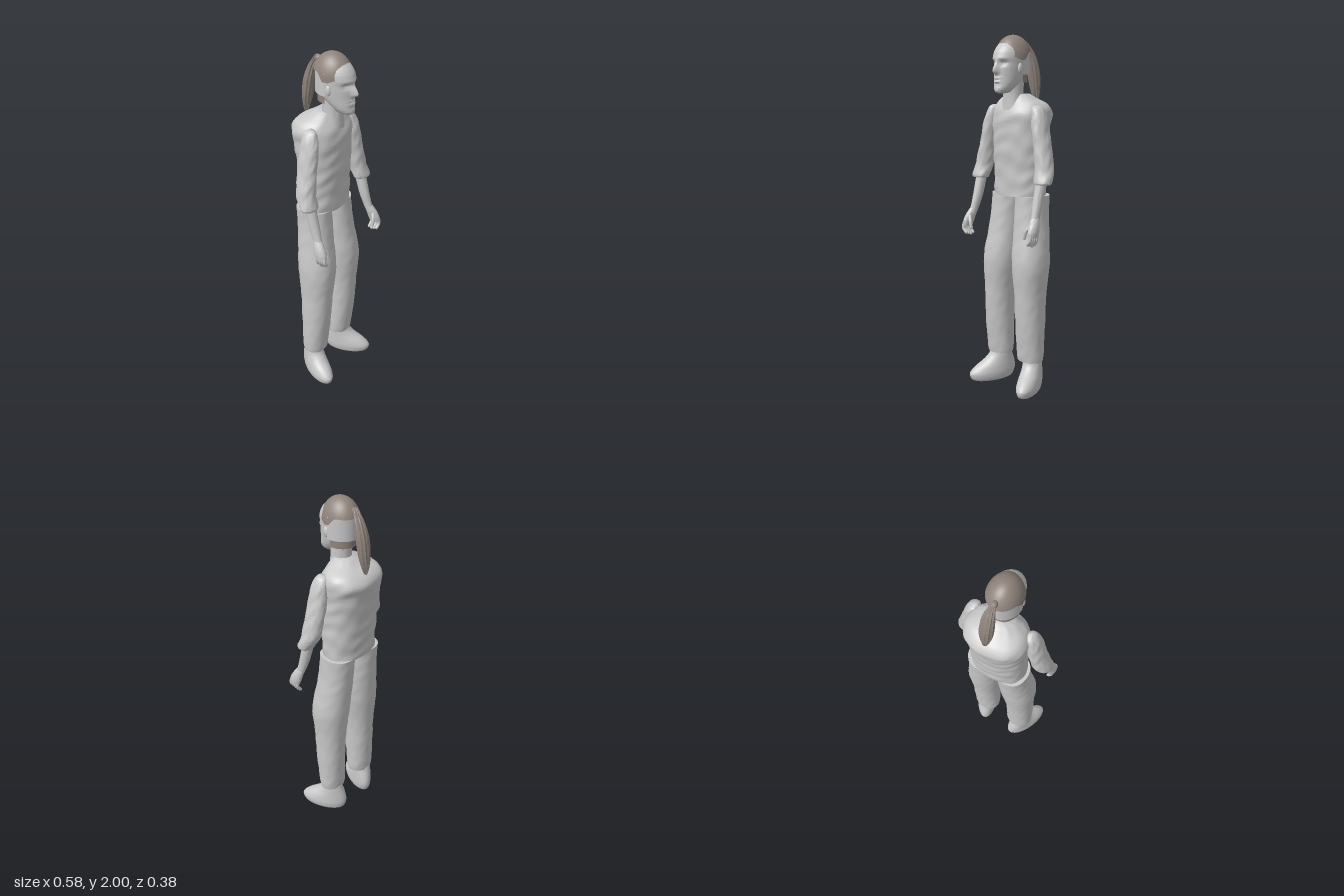
import * as THREE from 'three';
import { toCreasedNormals } from 'three/addons/utils/BufferGeometryUtils.js';

const mat = (name, color, side = THREE.FrontSide) => {
  const m = new THREE.MeshStandardMaterial({ color, side });
  m.name = name;
  return m;
};

const spline = (a, b, c, d, t) =>
  0.5 * (2 * b + (c - a) * t + (2 * a - 5 * b + 4 * c - d) * t * t + (3 * b - a - 3 * c + d) * t * t * t);
const bump = (d, w) => Math.exp(-(d * d) / (w * w));

// Smooth skin over elliptical sections [y, cx, cz, rx, rz], listed from bottom to top
function loft(sections, { seg = 32, steps = 5, power = 1, warp = null } = {}) {
  const rows = [];
  const at = (i) => sections[Math.min(Math.max(i, 0), sections.length - 1)];
  for (let i = 0; i < sections.length - 1; i++) {
    for (let k = 0; k < steps; k++) {
      rows.push(at(i).map((_, n) => spline(at(i - 1)[n], at(i)[n], at(i + 1)[n], at(i + 2)[n], k / steps)));
    }
  }
  rows.push(at(sections.length - 1));
  const pos = [], index = [];
  const round = (v) => Math.sign(v) * Math.pow(Math.abs(v), power);
  for (const [y, cx, cz, rx, rz] of rows) {
    for (let j = 0; j < seg; j++) {
      const a = (j / seg) * Math.PI * 2;
      const p = new THREE.Vector3(cx + rx * round(Math.cos(a)), y, cz + rz * round(Math.sin(a)));
      if (warp) warp(p, a);
      pos.push(p.x, p.y, p.z);
    }
  }
  for (let i = 0; i < rows.length - 1; i++) {
    for (let j = 0; j < seg; j++) {
      const a = i * seg + j, b = i * seg + (j + 1) % seg;
      index.push(a, a + seg, b, b, a + seg, b + seg);
    }
  }
  // end caps
  const last = (rows.length - 1) * seg, c = pos.length / 3;
  for (const r of [rows[0], rows[rows.length - 1]]) pos.push(r[1], r[0], r[2]);
  for (let j = 0; j < seg; j++) {
    const n = (j + 1) % seg;
    index.push(c, j, n, c + 1, last + n, last + j);
  }
  const g = new THREE.BufferGeometry();
  g.setAttribute('position', new THREE.Float32BufferAttribute(pos, 3));
  g.setIndex(index);
  return toCreasedNormals(g, 0.9);
}

// Soft cloth folds
const folds = (amount) => (p, a) => {
  const f = amount * (Math.sin(p.y * 62 + 2 * Math.sin(a * 3 + p.y * 9)) + Math.sin(p.y * 37 + a * 5) * Math.cos(a * 4));
  p.x += f * Math.cos(a);
  p.z += f * Math.sin(a);
};

// Nose, brow, eye sockets and lips pushed into the front of the head
function face(p) {
  if (p.z < 0.08) return;
  const ax = Math.abs(p.x), { y } = p;
  const nose = y > 1.805 ? bump(y - 1.805, 0.045) : bump(y - 1.805, 0.014);
  p.z += 0.034 * bump(ax, 0.014) * nose;
  p.z -= 0.014 * bump(ax - 0.034, 0.02) * bump(y - 1.848, 0.014);
  p.z += 0.005 * bump(ax - 0.03, 0.035) * bump(y - 1.873, 0.01);
  p.z += 0.007 * bump(ax, 0.022) * (bump(y - 1.769, 0.007) + bump(y - 1.753, 0.007));
  p.z -= 0.006 * bump(ax, 0.025) * (bump(y - 1.761, 0.004) + bump(y - 1.736, 0.009));
}

// Hair shell whose lower edge rises over the forehead and dips at the temples
function hairShell() {
  const seg = 48, rows = 14, pos = [], index = [];
  for (let i = 0; i <= rows; i++) {
    for (let j = 0; j < seg; j++) {
      const a = (j / seg) * Math.PI * 2, front = Math.sin(a);
      const edge = front > 0
        ? 1.865 + 0.082 * Math.pow(front, 3) + 0.006 * Math.sin(a * 17) * front
        : 1.87 + 0.04 * Math.min(1, -front * 3);
      const v = Math.sin((i / rows) * Math.PI / 2);
      const y = edge + (2 - edge) * v;
      const r = Math.sqrt(Math.max(0, 1 - ((y - 1.87) / 0.13) ** 2));
      pos.push(0.092 * r * Math.cos(a), y, 0.03 + 0.112 * r * front);
    }
  }
  for (let i = 0; i < rows; i++) {
    for (let j = 0; j < seg; j++) {
      const a = i * seg + j, b = i * seg + (j + 1) % seg;
      index.push(a, a + seg, b, b, a + seg, b + seg);
    }
  }
  const g = new THREE.BufferGeometry();
  g.setAttribute('position', new THREE.Float32BufferAttribute(pos, 3));
  g.setIndex(index);
  g.computeVertexNormals();
  return g;
}

export function createModel() {
  const model = new THREE.Group();
  model.name = 'standingFigure';
  const grey = mat('plainGrey', 0xc8c8c8, THREE.DoubleSide);
  const brown = mat('hairBrown', 0x8f847c, THREE.DoubleSide);
  const add = (name, geometry, material = grey, parent = model) => {
    const m = new THREE.Mesh(geometry, material);
    m.name = name;
    parent.add(m);
    return m;
  };

  // Shirt
  add('shirt', loft([
    [1.125, 0, -0.025, 0.16, 0.112], [1.25, 0, -0.028, 0.16, 0.118], [1.4, 0, -0.03, 0.162, 0.128],
    [1.52, 0, -0.038, 0.168, 0.137], [1.585, 0, -0.045, 0.172, 0.14], [1.63, 0, -0.04, 0.15, 0.115],
    [1.665, 0, -0.02, 0.1, 0.075], [1.685, 0, -0.012, 0.07, 0.055],
  ], { seg: 56, steps: 10, power: 0.88, warp: folds(0.0018) }));

  // Neck and head
  add('neck', loft([[1.6, 0, 0.03, 0.068, 0.06], [1.66, 0, 0.03, 0.057, 0.058],
    [1.72, 0, 0.03, 0.054, 0.06], [1.8, 0, 0.03, 0.055, 0.07]]));
  add('head', loft([
    [1.69, 0, 0.115, 0.015, 0.025], [1.7, 0, 0.108, 0.036, 0.052], [1.73, 0, 0.09, 0.056, 0.07],
    [1.78, 0, 0.058, 0.071, 0.098], [1.84, 0, 0.05, 0.079, 0.105], [1.9, 0, 0.05, 0.08, 0.104],
    [1.95, 0, 0.036, 0.064, 0.084], [1.985, 0, 0.03, 0.03, 0.035],
  ], { seg: 96, steps: 9, warp: face }));
  const wrap = (name, r, h, y, rz, z, material) => {
    const g = new THREE.CylinderGeometry(r, r, h, 32, 1, true, Math.PI / 2, Math.PI);
    const m = add(name, g, material);
    m.position.set(0, y, z);
    m.scale.z = rz / r;
  };
  wrap('backHeadBand', 0.088, 0.12, 1.85, 0.108, 0.042, grey);
  wrap('napeHair', 0.076, 0.045, 1.768, 0.088, 0.035, brown);
  add('hairCap', hairShell(), brown);

  // Ponytail, ribbed into strands
  add('ponytail', loft([
    [1.63, 0.005, -0.15, 0.006, 0.006], [1.67, 0.005, -0.147, 0.02, 0.017], [1.74, 0.005, -0.138, 0.034, 0.027],
    [1.82, 0.005, -0.125, 0.036, 0.03], [1.89, 0.004, -0.106, 0.028, 0.023], [1.935, 0.002, -0.085, 0.017, 0.016],
    [1.962, 0, -0.068, 0.011, 0.012],
  ], { seg: 44, warp: (p, a) => { p.x += 0.0022 * Math.cos(a * 11) * Math.cos(a); p.z += 0.0022 * Math.cos(a * 11) * Math.sin(a); } }), brown);
  const tie = add('hairTie', new THREE.SphereGeometry(0.02, 16, 12), brown);
  tie.position.set(0, 1.945, -0.066);
  tie.scale.set(0.8, 1, 1.2);

  for (const s of [-1, 1]) {
    const side = s > 0 ? 'left' : 'right';
    const mirror = (rows) => rows.map(([y, x, ...rest]) => [y, x * s, ...rest]);

    // Ear
    const ear = add(side + 'Ear', new THREE.SphereGeometry(0.024, 14, 12));
    ear.position.set(s * 0.08, 1.822, 0.058);
    ear.scale.set(0.4, 1.15, 0.7);

    // Sleeve, open forearm and hand
    add(side + 'Sleeve', loft(mirror([
      [1.21, 0.238, 0.055, 0.05, 0.04], [1.225, 0.238, 0.052, 0.054, 0.045], [1.29, 0.228, 0.028, 0.052, 0.054],
      [1.4, 0.207, 0.018, 0.045, 0.056], [1.5, 0.187, 0.015, 0.042, 0.055], [1.57, 0.174, 0.012, 0.037, 0.047],
      [1.61, 0.163, 0.01, 0.028, 0.036], [1.625, 0.158, 0.01, 0.014, 0.018],
    ]), { steps: 8, warp: folds(0.0014) }));
    add(side + 'Forearm', loft(mirror([
      [1.0, 0.24, 0.122, 0.02, 0.026], [1.04, 0.236, 0.105, 0.021, 0.027],
      [1.12, 0.231, 0.08, 0.027, 0.031], [1.25, 0.23, 0.045, 0.03, 0.034],
    ])));
    add(side + 'Palm', loft(mirror([
      [0.935, 0.255, 0.145, 0.018, 0.034], [0.965, 0.252, 0.138, 0.023, 0.038],
      [1.0, 0.246, 0.126, 0.024, 0.034], [1.035, 0.238, 0.108, 0.02, 0.027],
    ])));
    const finger = (name, pts, r) => {
      const path = new THREE.CatmullRomCurve3(pts.map(([x, y, z]) => new THREE.Vector3(x * s, y, z)));
      add(name, new THREE.TubeGeometry(path, 8, r, 8));
      const tip = add(name + 'Tip', new THREE.SphereGeometry(r, 8, 6));
      tip.position.copy(path.getPoint(1));
    };
    for (let i = 0; i < 4; i++) {
      const z = 0.119 + i * 0.017;
      finger(side + 'Finger', [[0.258, 0.955, z], [0.258, 0.92, z + 0.003], [0.24, 0.888 + Math.abs(i - 1) * 0.005, z]], 0.0095);
    }
    finger(side + 'Thumb', [[0.236, 0.995, 0.145], [0.216, 0.965, 0.16], [0.207, 0.93, 0.162]], 0.0095);

    // Trouser leg, with the left leg standing slightly closer in
    const inset = s > 0 ? 0.022 : 0;
    add(side + 'TrouserLeg', loft(mirror([
      [0.175, 0.13 - inset, 0.003, 0.076, 0.064], [0.22, 0.13 - inset, 0.004, 0.08, 0.07],
      [0.4, 0.128 - inset * 0.7, 0.01, 0.082, 0.084], [0.57, 0.122 - inset * 0.4, 0.01, 0.085, 0.094],
      [0.75, 0.112, 0.006, 0.101, 0.109], [0.9, 0.1, -0.01, 0.096, 0.103], [1.02, 0.092, -0.022, 0.09, 0.1],
      [1.13, 0.09, -0.03, 0.089, 0.1],
    ]), { seg: 40, steps: 6, power: 0.93, warp: folds(0.0007) }));

    // Shoe, turned outward
    const shoe = add(side + 'Shoe', loft([
      [0, 0, 0.055, 0.045, 0.108], [0.012, 0, 0.052, 0.056, 0.13], [0.045, 0, 0.049, 0.062, 0.142],
      [0.08, 0, 0.032, 0.06, 0.127], [0.12, 0, 0.006, 0.056, 0.092], [0.16, 0, -0.006, 0.054, 0.066],
      [0.21, 0, -0.002, 0.05, 0.055],
    ], { steps: 6 }));
    shoe.position.set(s * (0.142 - inset), 0, 0);
    shoe.rotation.y = s * 0.4;
  }
  return model;
}
